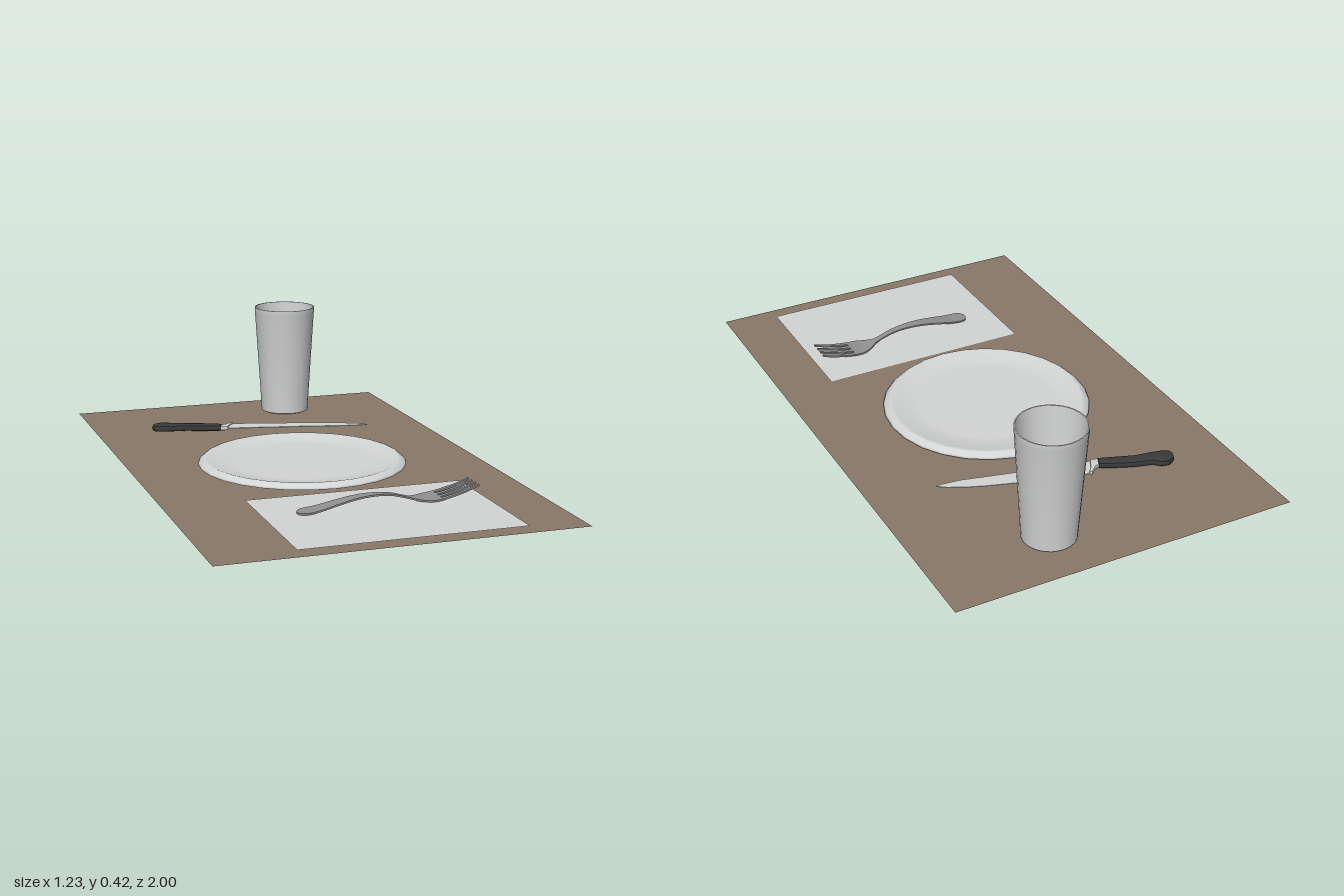
import * as THREE from 'three';
import { toCreasedNormals } from 'three/addons/utils/BufferGeometryUtils.js';

const mat = (name, color, side = THREE.FrontSide) => {
  const m = new THREE.MeshStandardMaterial({ color, side });
  m.name = name;
  return m;
};

const vectors = (pts) => pts.map(([x, y]) => new THREE.Vector2(x, y));

// Smooth y(x) through a few points, looked up by x
function smoothProfile(pts) {
  const s = new THREE.SplineCurve(vectors(pts)).getPoints(80);
  return (x) => {
    if (x <= s[0].x) return s[0].y;
    for (let i = 1; i < s.length; i++) {
      if (x <= s[i].x) {
        return THREE.MathUtils.mapLinear(x, s[i - 1].x, s[i].x, s[i - 1].y, s[i].y);
      }
    }
    return s[s.length - 1].y;
  };
}

// Box swept along x: centre line, half width and height follow rules
function sweptBar(x0, x1, segments, thickness, centre, halfWidth, height) {
  const g = new THREE.BoxGeometry(1, 1, 1, segments, 1, 2);
  const p = g.attributes.position;
  for (let i = 0; i < p.count; i++) {
    const x = THREE.MathUtils.lerp(x0, x1, p.getX(i) + 0.5);
    const z = centre(x) + p.getZ(i) * 2 * halfWidth(x);
    p.setXYZ(i, x, height(x) + p.getY(i) * thickness, z);
  }
  return toCreasedNormals(g, 0.7);
}

// Flat outline given in (x, z), extruded upwards from y
function slab(outline, y, depth, bevel = 0) {
  const shape = new THREE.Shape(vectors(outline.map(([x, z]) => [x, -z])));
  const g = new THREE.ExtrudeGeometry(shape, {
    depth: depth - 2 * bevel, bevelEnabled: bevel > 0, bevelSize: bevel,
    bevelThickness: bevel, bevelOffset: -bevel, bevelSegments: 2,
  });
  g.rotateX(-Math.PI / 2);
  g.translate(0, y + bevel, 0);
  return toCreasedNormals(g, 0.6);
}

export function createModel() {
  const root = new THREE.Group();
  root.name = 'placeSetting';

  const brown = mat('matBrown', 0x8a7868, THREE.DoubleSide);
  const white = mat('offWhite', 0xd3d5d4, THREE.DoubleSide);
  const steel = mat('forkSteel', 0x919191);
  const black = mat('handleBlack', 0x3a3a3a);

  const add = (name, geometry, material, parent = root) => {
    const m = new THREE.Mesh(geometry, material);
    m.name = name;
    parent.add(m);
    return m;
  };

  const sheet = (name, material, x0, x1, z0, z1, y) => {
    const g = new THREE.PlaneGeometry(x1 - x0, z1 - z0).rotateX(-Math.PI / 2);
    add(name, g, material).position.set((x0 + x1) / 2, y, (z0 + z1) / 2);
  };

  // Cloth and napkin
  sheet('placeMat', brown, -0.617, 0.617, -1, 1, 0);
  sheet('napkin', white, -0.339, 0.428, 0.392, 0.944, 0.004);

  // Plate: flared lip, sloping rim, flat well
  const plate = new THREE.LatheGeometry(vectors([
    [0, 0.006], [0.25, 0.006], [0.365, 0.006], [0.371, 0.008], [0.366, 0.014], [0.352, 0.025],
    [0.345, 0.027], [0.337, 0.025], [0.30, 0.017], [0.265, 0.012], [0.245, 0.011], [0, 0.011],
  ]), 28);
  add('plate', plate, white).position.set(-0.01, 0, 0);

  // Tumbler: tapered wall, straight rim band, open inside
  const cup = new THREE.LatheGeometry(vectors([
    [0, 0.005], [0.086, 0.005], [0.092, 0.008], [0.117, 0.402], [0.118, 0.406], [0.118, 0.424],
    [0.114, 0.424], [0.113, 0.402], [0.088, 0.014], [0, 0.014],
  ]), 32);
  add('cup', toCreasedNormals(cup, 1.0), white).position.set(0.18, 0, -0.797);

  // Fork: arched handle, spoon-like neck, four tines
  const fork = new THREE.Group();
  fork.name = 'fork';
  root.add(fork);
  const axis = (x) => 0.598 - 0.068 * (x + 0.22);
  const arch = smoothProfile([
    [-0.225, 0.009], [-0.16, 0.014], [-0.09, 0.027], [-0.03, 0.037], [0.03, 0.041], [0.1, 0.036],
    [0.18, 0.014], [0.22, 0.009], [0.27, 0.011], [0.35, 0.027], [0.41, 0.046],
  ]);
  const width = smoothProfile([
    [-0.225, 0.01], [-0.216, 0.025], [-0.195, 0.033], [-0.14, 0.03], [0, 0.019], [0.1, 0.013],
    [0.165, 0.013], [0.195, 0.028], [0.23, 0.046], [0.26, 0.05], [0.28, 0.05],
  ]);
  add('forkBody', sweptBar(-0.225, 0.275, 48, 0.006, axis, width, arch), steel, fork);
  for (let i = 0; i < 4; i++) {
    const offset = (i - 1.5) * 0.028;
    const taper = (x) => THREE.MathUtils.mapLinear(x, 0.27, 0.408, 0.0085, 0.0045);
    add('forkTine', sweptBar(0.27, 0.408, 10, 0.006, (x) => axis(x) + offset, taper, arch), steel, fork);
  }

  // Knife: curved dark handle, bolster, thin pointed blade
  const knife = new THREE.Group();
  knife.name = 'knife';
  root.add(knife);
  add('knifeHandle', slab([
    [-0.41, -0.61], [-0.4, -0.632], [-0.375, -0.645], [-0.347, -0.64], [-0.325, -0.618],
    [-0.26, -0.6], [-0.2, -0.575], [-0.152, -0.55], [-0.165, -0.517], [-0.22, -0.537],
    [-0.29, -0.562], [-0.345, -0.57], [-0.39, -0.58], [-0.408, -0.592],
  ], 0.007, 0.022, 0.006), black, knife);
  add('knifeBolster', slab([
    [-0.153, -0.549], [-0.135, -0.555], [-0.11, -0.578], [-0.1, -0.574],
    [-0.12, -0.55], [-0.14, -0.511], [-0.166, -0.518],
  ], 0.01, 0.016, 0.003), white, knife);
  add('knifeBlade', slab([
    [-0.14, -0.512], [-0.13, -0.545], [-0.105, -0.576], [-0.04, -0.561], [0.05, -0.534],
    [0.15, -0.508], [0.24, -0.479], [0.31, -0.452], [0.36, -0.427], [0.39, -0.404],
    [0.37, -0.402], [0.3, -0.41], [0.14, -0.45], [-0.03, -0.488],
  ], 0.016, 0.003), white, knife);

  return root;
}
